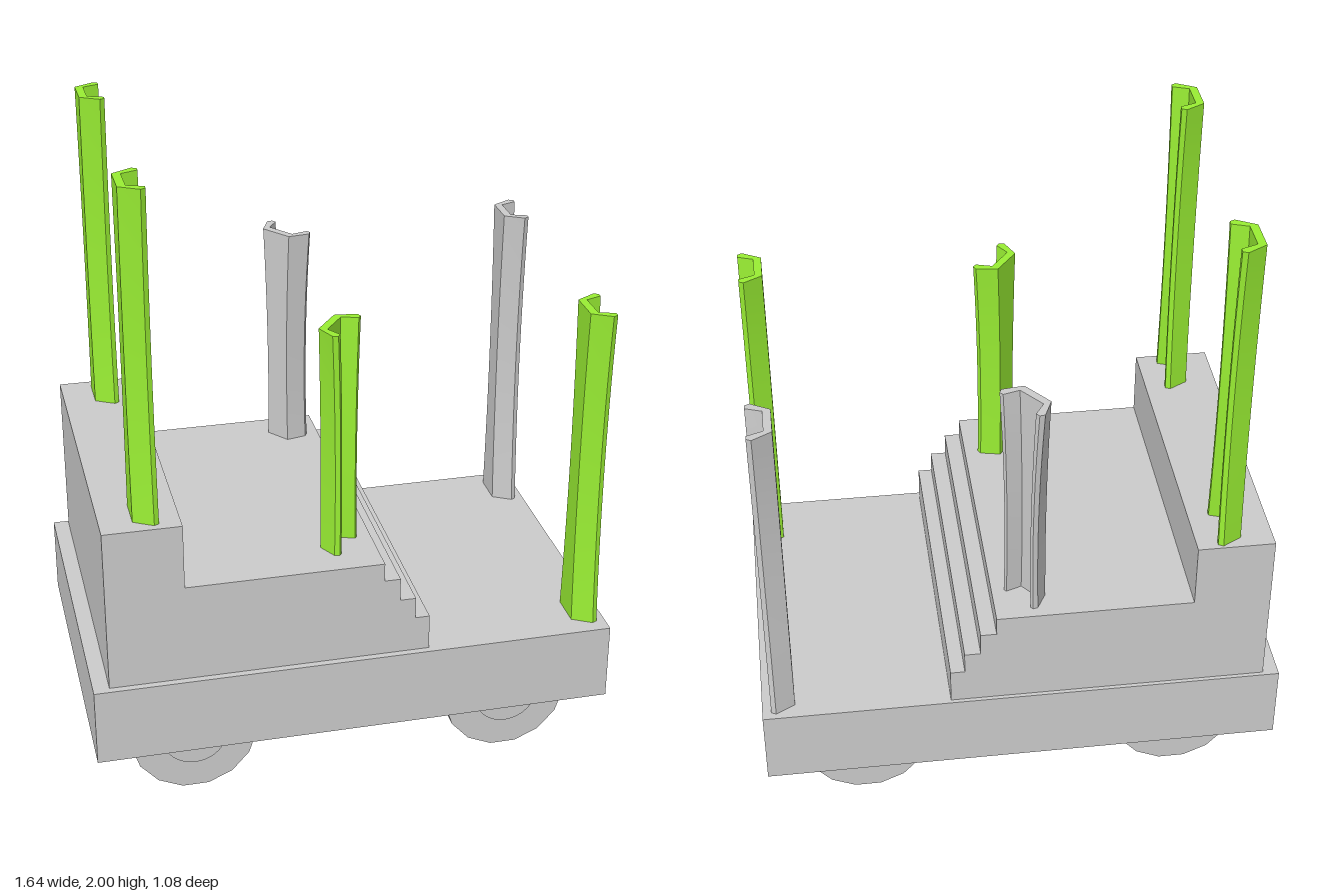
import * as THREE from 'three';
import { toCreasedNormals } from 'three/addons/utils/BufferGeometryUtils.js';

const grey = new THREE.MeshStandardMaterial({ color: 0xcccccc });
const green = new THREE.MeshStandardMaterial({ color: 0x99ee33 });

function add(group, name, geometry, material, x = 0, y = 0, z = 0) {
  const mesh = new THREE.Mesh(geometry, material);
  mesh.name = name;
  mesh.position.set(x, y, z);
  group.add(mesh);
  return mesh;
}

const toShape = (points) => new THREE.Shape(points.map(([x, y]) => new THREE.Vector2(x, y)));

// Channel-section post, open towards +x, narrowing to a waist halfway up
function postGeometry(height) {
  const half = [[-0.035, 0.055], [0.025, 0.09], [0.04, 0.082], [0.04, 0.067], [-0.01, 0.048]];
  const mirrored = half.map(([x, y]) => [x, -y]).reverse();
  const geo = new THREE.ExtrudeGeometry(toShape([...half, ...mirrored]), {
    depth: height, steps: 14, bevelEnabled: false,
  });
  geo.rotateX(-Math.PI / 2);
  const pos = geo.attributes.position;
  for (let i = 0; i < pos.count; i++) {
    const t = (2 * pos.getY(i)) / height - 1;
    pos.setZ(i, pos.getZ(i) * (0.74 + 0.26 * t * t));
  }
  return toCreasedNormals(geo, 0.4);
}

export function createModel() {
  const model = new THREE.Group();
  model.name = 'wheeledStage';

  // Flat platform
  add(model, 'platform', new THREE.BoxGeometry(1.64, 0.25, 1.08), grey, 0, 0.305, 0);

  // Raised deck with front steps and a higher rear block
  const profile = [
    [-0.77, 0.43], [0.23, 0.43], [0.23, 0.545], [0.185, 0.545], [0.185, 0.615],
    [0.135, 0.615], [0.135, 0.69], [0.085, 0.69], [0.085, 0.75], [-0.53, 0.75],
    [-0.53, 0.96], [-0.77, 0.96],
  ];
  const deck = new THREE.ExtrudeGeometry(toShape(profile), { depth: 1.045, bevelEnabled: false });
  add(model, 'steppedDeck', deck, grey, 0, 0, -0.527);

  // Axles and faceted wheels
  const axle = new THREE.CylinderGeometry(0.102, 0.102, 0.945, 40).rotateX(Math.PI / 2);
  const wheel = toCreasedNormals(
    new THREE.CylinderGeometry(0.2, 0.2, 0.052, 15).rotateX(Math.PI / 2).rotateZ(Math.PI), 0.3);
  for (const x of [-0.51, 0.5]) {
    add(model, 'axle', axle, grey, x, 0.2, 0.018);
    for (const z of [0.452, -0.416]) add(model, 'wheel', wheel, grey, x, 0.2, z);
  }

  // Posts: name, material, x, base y, z, height, turn
  const posts = [
    ['rearPostLeft', green, -0.635, 0.94, 0.407, 1.06, 0],
    ['rearPostRight', green, -0.635, 0.935, -0.43, 1.06, 0],
    ['middlePostLeft', green, -0.03, 0.43, 0.362, 1.06, -0.65],
    ['middlePostRight', grey, -0.025, 0.43, -0.417, 1.06, 0.65],
    ['frontPostLeft', green, 0.752, 0.43, 0.407, 1.06, 0],
    ['frontPostRight', grey, 0.752, 0.43, -0.43, 1.06, 0],
  ];
  for (const [name, material, x, y, z, height, turn] of posts) {
    add(model, name, postGeometry(height), material, x, y, z).rotation.y = turn;
  }
  return model;
}
